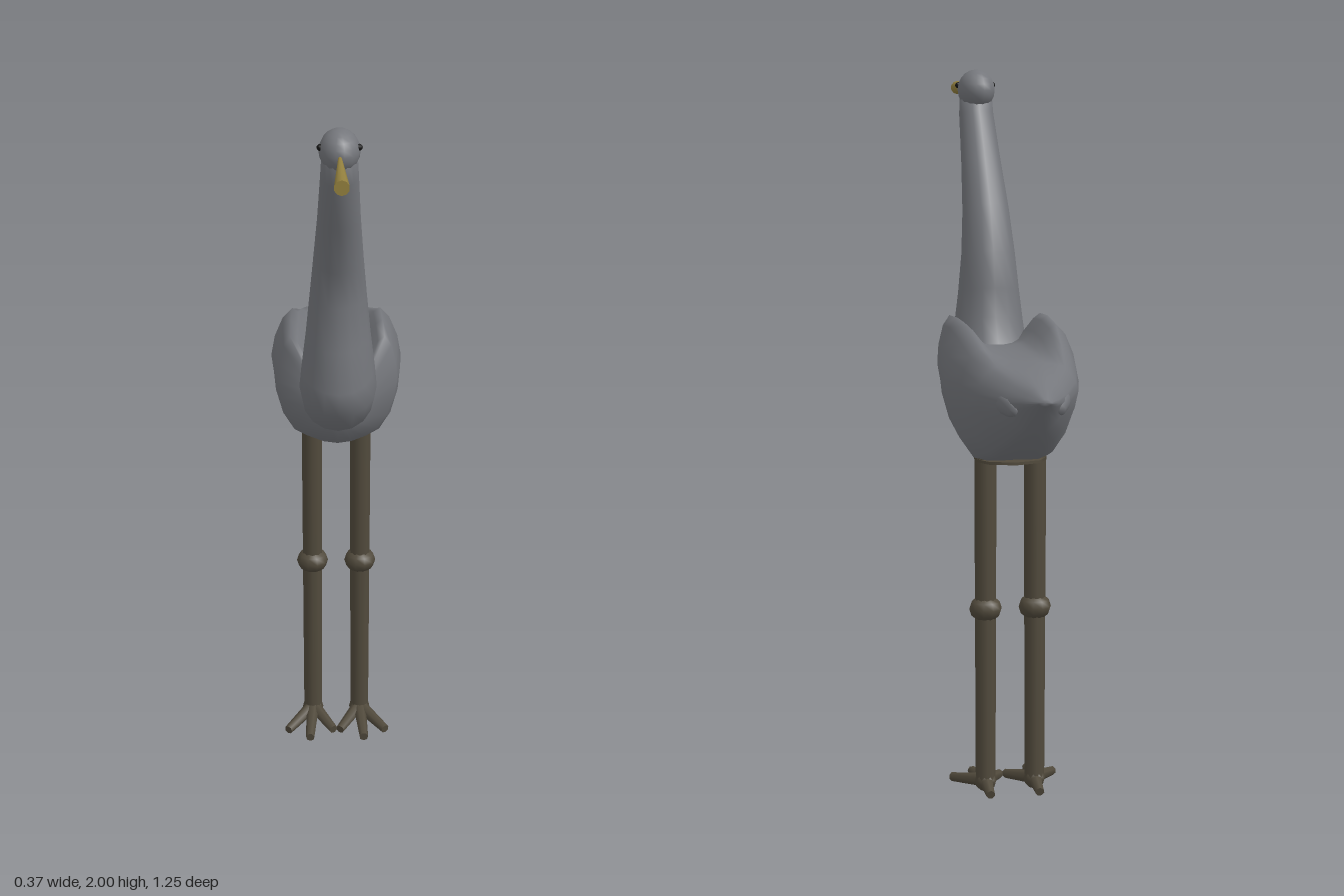
import * as THREE from 'three';

const V = (x, y, z) => new THREE.Vector3(x, y, z);

// Skin over closed rings, capped at both ends
function loft(rings) {
  const n = rings[0].length, pos = [], idx = [];
  rings.forEach(r => r.forEach(p => pos.push(p.x, p.y, p.z)));
  for (let i = 0; i < rings.length - 1; i++) for (let j = 0; j < n; j++) {
    const a = i * n + j, b = i * n + (j + 1) % n, c = a + n, d = b + n;
    idx.push(a, b, c, b, d, c);
  }
  [0, rings.length - 1].forEach((k, end) => {
    const c = rings[k].reduce((s, p) => s.add(p), V(0, 0, 0)).divideScalar(n);
    const m = pos.length / 3;
    pos.push(c.x, c.y, c.z);
    for (let j = 0; j < n; j++) {
      const a = k * n + j, b = k * n + (j + 1) % n;
      if (end) idx.push(m, a, b); else idx.push(m, b, a);
    }
  });
  const g = new THREE.BufferGeometry();
  g.setAttribute('position', new THREE.Float32BufferAttribute(pos, 3));
  g.setIndex(idx);
  g.computeVertexNormals();
  return g;
}

// Tapered rod from a to b
function rod(a, b, ra, rb, sides = 8) {
  const g = new THREE.CylinderGeometry(rb, ra, a.distanceTo(b), sides);
  const dir = b.clone().sub(a).normalize();
  g.applyQuaternion(new THREE.Quaternion().setFromUnitVectors(V(0, 1, 0), dir));
  const m = a.clone().add(b).multiplyScalar(0.5);
  return g.translate(m.x, m.y, m.z);
}

export function createModel() {
  const mat = (name, color) => {
    const m = new THREE.MeshStandardMaterial({ color });
    m.name = name;
    return m;
  };
  const plumage = mat('grey plumage', 0x75777c);
  const legSkin = mat('dark olive leg', 0x514a3c);
  const horn = mat('ochre beak', 0x94813f);
  const black = mat('black eye', 0x151515);

  const bird = new THREE.Group();
  bird.name = 'wadingBird';
  const add = (name, geo, m, parent = bird) => {
    const mesh = new THREE.Mesh(geo, m);
    mesh.name = name;
    parent.add(mesh);
    return mesh;
  };

  // Body with folded wings: z, half width, its y, wing ridge x, y, back y, lower x, y, belly y
  const sections = [
    [0.105, 0.105, 1.17, 0.08, 1.23, 1.21, 0.06, 1.09, 1.07],
    [0.05, 0.165, 1.19, 0.13, 1.325, 1.24, 0.11, 1.05, 1.005],
    [-0.06, 0.178, 1.19, 0.128, 1.332, 1.25, 0.12, 1.0, 0.972],
    [-0.18, 0.185, 1.18, 0.125, 1.322, 1.25, 0.105, 0.96, 0.947],
    [-0.3, 0.162, 1.18, 0.115, 1.275, 1.25, 0.09, 0.99, 0.977],
    [-0.4, 0.138, 1.17, 0.1, 1.235, 1.25, 0.07, 1.035, 1.02],
    [-0.5, 0.085, 1.16, 0.06, 1.205, 1.225, 0.04, 1.09, 1.08],
    [-0.56, 0.05, 1.165, 0.035, 1.192, 1.207, 0.02, 1.14, 1.135],
    [-0.62, 0.018, 1.175, 0.012, 1.181, 1.185, 0.01, 1.169, 1.167],
  ];
  add('bodyAndWings', loft(sections.map(([z, w, my, tx, ty, by, lx, ly, bot]) => {
    const half = [[tx * 0.5, by + (ty - by) * 0.15], [tx, ty], [w, my], [lx, ly]];
    const pts = [[0, by], ...half, [0, bot], ...half.map(([x, y]) => [-x, y]).reverse()];
    const curve = new THREE.CatmullRomCurve3(pts.map(([x, y]) => V(x, y, z)), true);
    return Array.from({ length: 30 }, (_, i) => curve.getPoint(i / 30));
  })), plumage);

  // Neck and breast: front z, y, back z, y, half width
  const neck = [
    [0.39, 1.95, 0.275, 1.93, 0.046],
    [0.375, 1.86, 0.275, 1.885, 0.05],
    [0.315, 1.72, 0.195, 1.76, 0.057],
    [0.254, 1.58, 0.116, 1.63, 0.067],
    [0.233, 1.475, 0.065, 1.5, 0.077],
    [0.243, 1.35, 0.045, 1.4, 0.088],
    [0.255, 1.235, 0.035, 1.32, 0.1],
    [0.252, 1.17, 0, 1.25, 0.106],
    [0.165, 1.092, -0.04, 1.2, 0.098],
    [0.1, 1.07, -0.08, 1.15, 0.07],
  ];
  add('neckAndBreast', loft(neck.map(([fz, fy, bz, by, w]) =>
    Array.from({ length: 16 }, (_, i) => {
      const a = i / 16 * Math.PI * 2, c = Math.cos(a) / 2;
      return V(-w * Math.sin(a), (fy + by) / 2 + c * (fy - by), (fz + bz) / 2 + c * (fz - bz));
    }))), plumage);

  // Head and beak, the beak widening towards its tip
  const head = add('head', new THREE.SphereGeometry(1, 14, 10), plumage);
  head.scale.set(0.054, 0.058, 0.071);
  head.position.set(0, 1.942, 0.326);
  add('beak', rod(V(0, 1.942, 0.38), V(0, 1.939, 0.625), 0.004, 0.02, 10), horn);

  // Belly patch between the legs
  const patch = add('bellyPatch', new THREE.CylinderGeometry(1, 1, 0.008, 8), legSkin);
  patch.scale.set(0.1, 1, 0.075);
  patch.position.set(0, 0.951, -0.18);

  for (const s of [1, -1]) {
    const side = s > 0 ? 'left' : 'right';

    const eye = add(side + 'Eye', new THREE.SphereGeometry(0.009, 8, 6), black);
    eye.position.set(s * 0.05, 1.955, 0.34);

    // Wing tip feathers beside the tail
    const tip = add(side + 'WingTip', new THREE.SphereGeometry(1, 8, 6), plumage);
    tip.scale.set(0.018, 0.03, 0.07);
    tip.position.set(s * 0.08, 1.155, -0.475);
    tip.rotation.set(-0.2, s * 0.35, 0);

    // Leg with knee and four toes
    const leg = new THREE.Group();
    leg.name = side + 'Leg';
    leg.position.set(s * 0.07, 0, -0.17);
    bird.add(leg);
    add('shank', rod(V(0, 0.03, 0), V(0, 1.0, 0), 0.028, 0.031, 10), legSkin, leg);
    const knee = add('knee', new THREE.SphereGeometry(0.046, 10, 6), legSkin, leg);
    knee.scale.y = 0.82;
    knee.position.y = 0.53;
    const ankle = add('ankle', new THREE.SphereGeometry(0.031, 10, 6), legSkin, leg);
    ankle.position.y = 0.033;
    for (const [x, z] of [[-0.06, 0.11], [0.01, 0.155], [0.075, 0.11], [0, -0.075]])
      add('toe', rod(V(0, 0.035, 0), V(s * x, 0.014, z), 0.02, 0.013, 7), legSkin, leg);
  }
  return bird;
}
